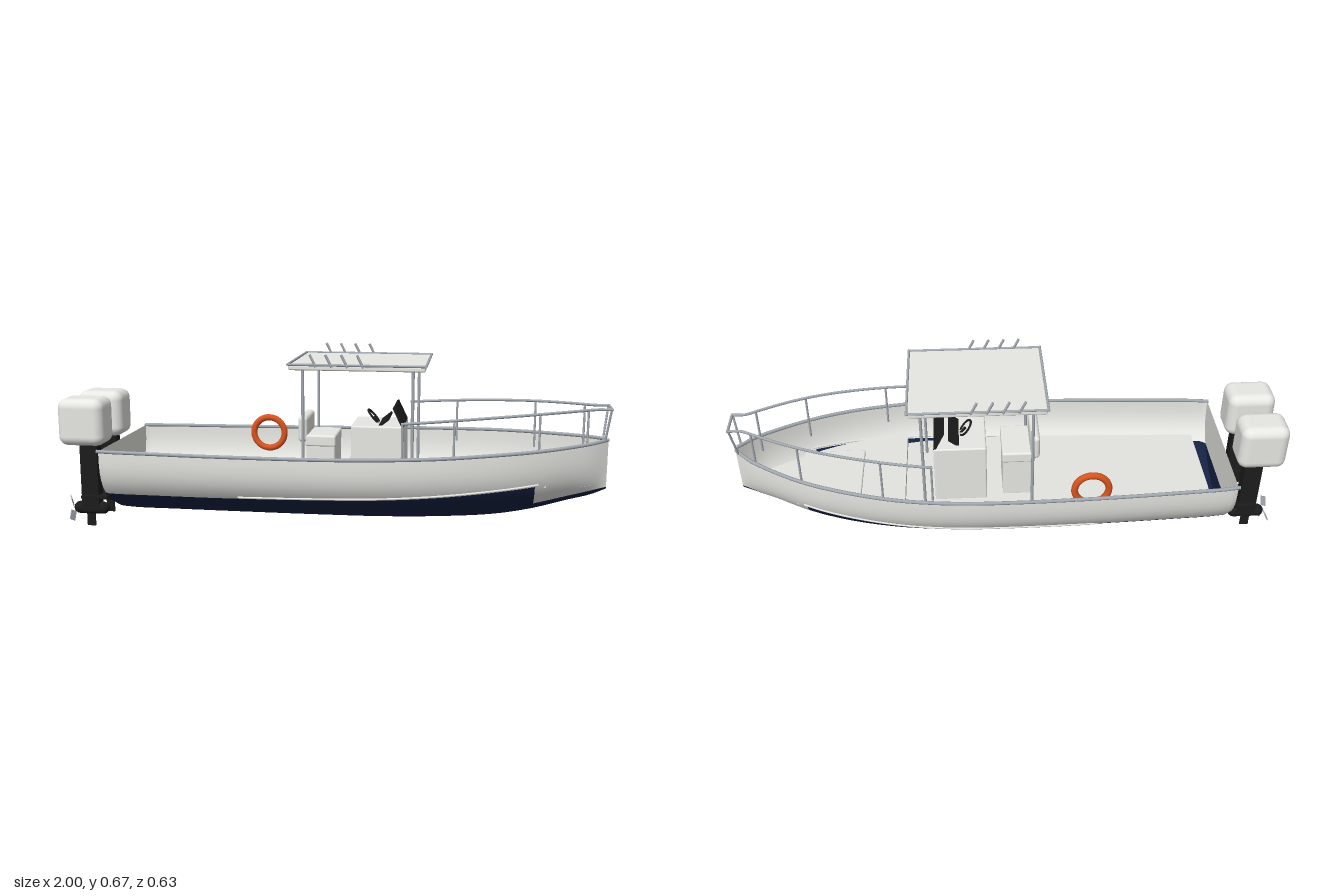
import * as THREE from 'three';
import { RoundedBoxGeometry } from 'three/addons/geometries/RoundedBoxGeometry.js';

const mat = (name, color, double) => {
  const m = new THREE.MeshStandardMaterial({ color });
  m.name = name;
  if (double) m.side = THREE.DoubleSide;
  return m;
};
const V = (x, y, z) => new THREE.Vector3(x, y, z);

// Hull stations: x, half width at the sheer, keel height, sheer height, paint line
const STATIONS = [
  [-0.805, 0.264, 0.07, 0.322, 0.158], [-0.785, 0.271, 0.058, 0.322, 0.158],
  [-0.74, 0.2745, 0.055, 0.322, 0.1585], [-0.6, 0.283, 0.055, 0.322, 0.16],
  [-0.4, 0.294, 0.055, 0.322, 0.162], [0, 0.308, 0.056, 0.325, 0.172],
  [0.2, 0.308, 0.058, 0.33, 0.18], [0.4, 0.287, 0.065, 0.336, 0.193],
  [0.6, 0.238, 0.08, 0.345, 0.21], [0.73, 0.188, 0.104, 0.35, 0.222],
  [0.85, 0.122, 0.138, 0.356, 0.236], [0.94, 0.058, 0.163, 0.361, 0.25],
  [0.99, 0.005, 0.185, 0.364, 0.26],
];
const STEP_X = 0.73; // where the bottom paint steps down
const spline = new THREE.CubicInterpolant(
  STATIONS.map((s) => s[0]), STATIONS.flatMap((s) => s.slice(1)), 4);
function hullAt(x) {
  const [w, keel, sheer, paint] = spline.evaluate(x);
  return { w, keel, sheer, paint };
}
function halfWidth(x, y) {
  const h = hullAt(x);
  const t = THREE.MathUtils.clamp((y - h.keel) / (h.sheer - h.keel), 0, 1);
  return h.w * Math.pow(1 - Math.pow(1 - t, 3), 0.72);
}

// Heights from keel to sheer in three bands: bottom, stepped band, topsides
const BANDS = [8, 4, 6];
const ROWS = 18;
function sectionHeights(x) {
  const { keel, sheer, paint } = hullAt(x);
  const low = x <= STEP_X ? keel + 0.36 * (paint - keel)
    : Math.max(keel + 0.004, 0.147 + (x - STEP_X) * 0.17);
  const ys = [keel];
  for (let i = 1; i <= BANDS[0]; i++) ys.push(keel + (low - keel) * (i / BANDS[0]) ** 2);
  for (let i = 1; i <= BANDS[1]; i++) ys.push(low + (paint - low) * i / BANDS[1]);
  for (let i = 1; i <= BANDS[2]; i++) ys.push(paint + (sheer - paint) * i / BANDS[2]);
  return ys;
}

function hullGeometry() {
  const xs = [-0.805, -0.797, -0.785];
  for (let i = 1; i <= 30; i++) xs.push(-0.785 + (STEP_X + 0.785) * i / 30);
  for (let i = 1; i <= 12; i++) xs.push(STEP_X + (0.99 - STEP_X) * i / 12);
  const pos = [], paintFaces = [], whiteFaces = [], n = 2 * ROWS + 1;
  const addSection = (x) => {
    const ys = sectionHeights(x);
    for (let j = 0; j < n; j++) {
      const y = ys[Math.abs(ROWS - j)];
      pos.push(x, y, Math.sign(ROWS - j) * halfWidth(x, y));
    }
  };
  const faces = (row, x) =>
    row < BANDS[0] || (row < BANDS[0] + BANDS[1] && x < STEP_X - 0.001) ? paintFaces : whiteFaces;
  xs.forEach(addSection);
  for (let i = 0; i < xs.length - 1; i++) {
    for (let j = 0; j < n - 1; j++) {
      const a = i * n + j, b = a + n;
      const row = j < ROWS ? ROWS - 1 - j : j - ROWS;
      faces(row, xs[i]).push(a, a + 1, b, a + 1, b + 1, b);
    }
  }
  // transom and stem closures
  [[xs[0], 1], [xs[xs.length - 1], -1]].forEach(([x, dir]) => {
    const base = pos.length / 3;
    addSection(x);
    for (let j = 0; j < ROWS; j++) {
      const a = base + j, b = a + 1, c = base + 2 * ROWS - j, d = c - 1;
      faces(ROWS - 1 - j, x).push(...(dir > 0 ? [a, c, b, b, c, d] : [a, b, c, b, d, c]));
    }
  });
  const g = new THREE.BufferGeometry();
  g.setAttribute('position', new THREE.Float32BufferAttribute(pos, 3));
  g.setIndex([...paintFaces, ...whiteFaces]);
  g.addGroup(0, paintFaces.length, 0);
  g.addGroup(paintFaces.length, whiteFaces.length, 1);
  g.computeVertexNormals();
  return g;
}

// Flat deck that follows the hull sides
function deckGeometry(x0, x1, y, thick) {
  const side = [];
  for (let i = 0; i <= 24; i++) {
    const x = x0 + (x1 - x0) * i / 24;
    side.push([x, halfWidth(x, y - thick) * 0.995]);
  }
  const pts = [...side.map(([x, z]) => new THREE.Vector2(x, -z)),
    ...side.reverse().map(([x, z]) => new THREE.Vector2(x, z))];
  return new THREE.ExtrudeGeometry(new THREE.Shape(pts), { depth: thick, bevelEnabled: false })
    .rotateX(-Math.PI / 2).translate(0, y - thick, 0);
}

export function createModel() {
  const root = new THREE.Group();
  root.name = 'boat';
  const white = mat('white gelcoat', 0xe8e8e4);
  const shell = mat('white hull', 0xe6e6e2, true);
  const navy = mat('navy bottom paint', 0x152142, true);
  const deck = mat('deck white', 0xe4e4e0);
  const steel = mat('steel', 0xa2a9b0);
  const black = mat('black', 0x1c1c1d);
  const orange = mat('orange', 0xd8541f);

  const add = (name, geo, material, parent = root) => {
    const m = new THREE.Mesh(geo, material);
    m.name = name;
    parent.add(m);
    return m;
  };
  const box = (name, x0, x1, y0, y1, z0, z1, material, r = 0, parent = root) => {
    const s = [x1 - x0, y1 - y0, z1 - z0];
    const g = r ? new RoundedBoxGeometry(...s, 4, r) : new THREE.BoxGeometry(...s);
    return add(name, g.translate((x0 + x1) / 2, (y0 + y1) / 2, (z0 + z1) / 2), material, parent);
  };
  const tube = (name, pts, r, material, seg = 40) =>
    add(name, new THREE.TubeGeometry(new THREE.CatmullRomCurve3(pts), seg, r, 8), material);
  const rod = (name, a, b, r, material) => {
    const d = b.clone().sub(a);
    const m = add(name, new THREE.CylinderGeometry(r, r, d.length(), 10), material);
    m.position.copy(a).addScaledVector(d, 0.5);
    m.quaternion.setFromUnitVectors(V(0, 1, 0), d.normalize());
  };
  const range = (a, b, n) => Array.from({ length: n + 1 }, (_, i) => a + (b - a) * i / n);

  // Hull, decks and hatch
  add('hull', hullGeometry(), [navy, shell]);
  add('cockpitFloor', deckGeometry(-0.75, 0.5, 0.18, 0.006), deck);
  add('foredeck', deckGeometry(0.38, 0.93, 0.215, 0.012), deck);
  add('foredeckStep', new THREE.BoxGeometry(0.004, 0.03, 0.5).translate(0.382, 0.195, 0), deck);
  box('foredeckHatch', 0.54, 0.77, 0.212, 0.226, -0.15, 0.15, deck, 0.005);

  // Gunwale, spray rail and bow rail on each side
  const railY = (x) => 0.445 + 0.034 * Math.sin(Math.PI / 2 * (x - 0.27) / 0.73);
  const railZ = (x) => Math.max(0.05, hullAt(Math.min(x, 0.99)).w * 0.825);
  for (const s of [1, -1]) {
    tube('gunwale', range(-0.81, 0.988, 30).map((x) => {
      const h = hullAt(Math.max(x, -0.8));
      return V(x, h.sheer, s * (h.w + 0.001));
    }), 0.0065, steel, 80);
    tube('sprayRail', range(-0.3, 0.74, 16).map((x) => {
      const y = hullAt(x).paint + 0.006;
      return V(x, y, s * (halfWidth(x, y) + 0.001));
    }), 0.004, shell);
    tube('bowRail', range(0.27, 0.992, 16).map((x) => V(x, railY(x), s * railZ(x))), 0.005, steel, 50);
    for (const x of [0.275, 0.45, 0.74, 0.91])
      rod('bowRailPost', V(x, 0.3, s * railZ(x)), V(x, railY(x), s * railZ(x)), 0.004, steel);
    rod('bowRailFrontLeg', V(0.975, 0.362, s * 0.03), V(0.99, 0.478, s * 0.05), 0.004, steel);
  }
  rod('bowRailTip', V(0.992, 0.479, -0.053), V(0.992, 0.479, 0.053), 0.005, steel);

  // Canopy with frame, posts and rod holders
  box('canopyRoof', -0.128, 0.348, 0.616, 0.635, -0.2, 0.2, white, 0.006);
  for (const s of [1, -1]) {
    rod('canopyFrameSide', V(-0.132, 0.636, s * 0.2), V(0.352, 0.636, s * 0.2), 0.0045, steel);
    const x = s > 0 ? 0.35 : -0.13;
    rod('canopyFrameEnd', V(x, 0.636, -0.204), V(x, 0.636, 0.204), 0.0045, steel);
    for (const px of [-0.08, 0.305])
      rod('canopyPost', V(px, 0.175, s * 0.18), V(px, 0.62, s * 0.18), 0.0055, steel);
    for (const hx of [-0.03, 0.025, 0.08, 0.135])
      rod('rodHolder', V(hx, 0.628, s * 0.2), V(hx - 0.022, 0.672, s * 0.2), 0.0045, steel);
  }

  // Helm console, windscreen, display and wheel
  box('console', 0.08, 0.27, 0.175, 0.408, -0.105, 0.105, white, 0.006);
  const screen = box('windscreen', -0.004, 0.004, 0, 0.077, -0.1, 0.1, black);
  screen.position.set(0.266, 0.405, 0);
  screen.rotation.z = 0.45;
  const display = box('display', -0.004, 0.004, 0, 0.042, -0.08, 0.08, black);
  display.position.set(0.18, 0.405, 0);
  display.rotation.z = -0.9;
  const wheel = add('steeringWheel', new THREE.TorusGeometry(0.032, 0.004, 8, 24).rotateY(Math.PI / 2), black);
  wheel.position.set(0.153, 0.427, 0);
  wheel.rotation.z = 0.7;
  rod('steeringColumn', V(0.153, 0.427, 0), V(0.175, 0.4, 0), 0.005, black);

  // Helm seat
  box('seatBase', -0.085, 0.02, 0.175, 0.345, -0.085, 0.085, white, 0.006);
  box('seatCushion', -0.088, 0.023, 0.325, 0.367, -0.088, 0.088, white, 0.008);
  box('seatBack', -0.114, -0.08, 0.34, 0.434, -0.09, 0.09, white, 0.014);

  // Life ring
  add('lifeRing', new THREE.TorusGeometry(0.061, 0.0125, 12, 36), orange).position.set(-0.287, 0.311, -0.234);

  // Twin outboard engines
  for (const s of [1, -1]) {
    const e = new THREE.Group();
    e.name = 'outboardEngine';
    e.position.z = s * 0.102;
    root.add(e);
    box('cowl', -1, -0.825, 0.315, 0.49, -0.068, 0.068, white, 0.035, e);
    box('leg', -0.932, -0.866, 0.06, 0.33, -0.022, 0.022, black, 0, e);
    box('cavitationPlate', -0.93, -0.83, 0.112, 0.122, -0.035, 0.035, black, 0, e);
    box('skeg', -0.922, -0.89, 0, 0.07, -0.003, 0.003, black, 0, e);
    add('gearcase', new THREE.CapsuleGeometry(0.023, 0.09, 6, 16).rotateZ(Math.PI / 2), black, e)
      .position.set(-0.902, 0.07, 0);
    for (let k = 0; k < 3; k++) {
      const blade = new THREE.BoxGeometry(0.004, 0.036, 0.024).rotateY(0.5).translate(0, 0.033, 0);
      const m = add('propellerBlade', blade, steel, e);
      m.position.set(-0.972, 0.07, 0);
      m.rotation.x = -Math.PI / 2 + k * Math.PI * 2 / 3;
    }
  }
  return root;
}
